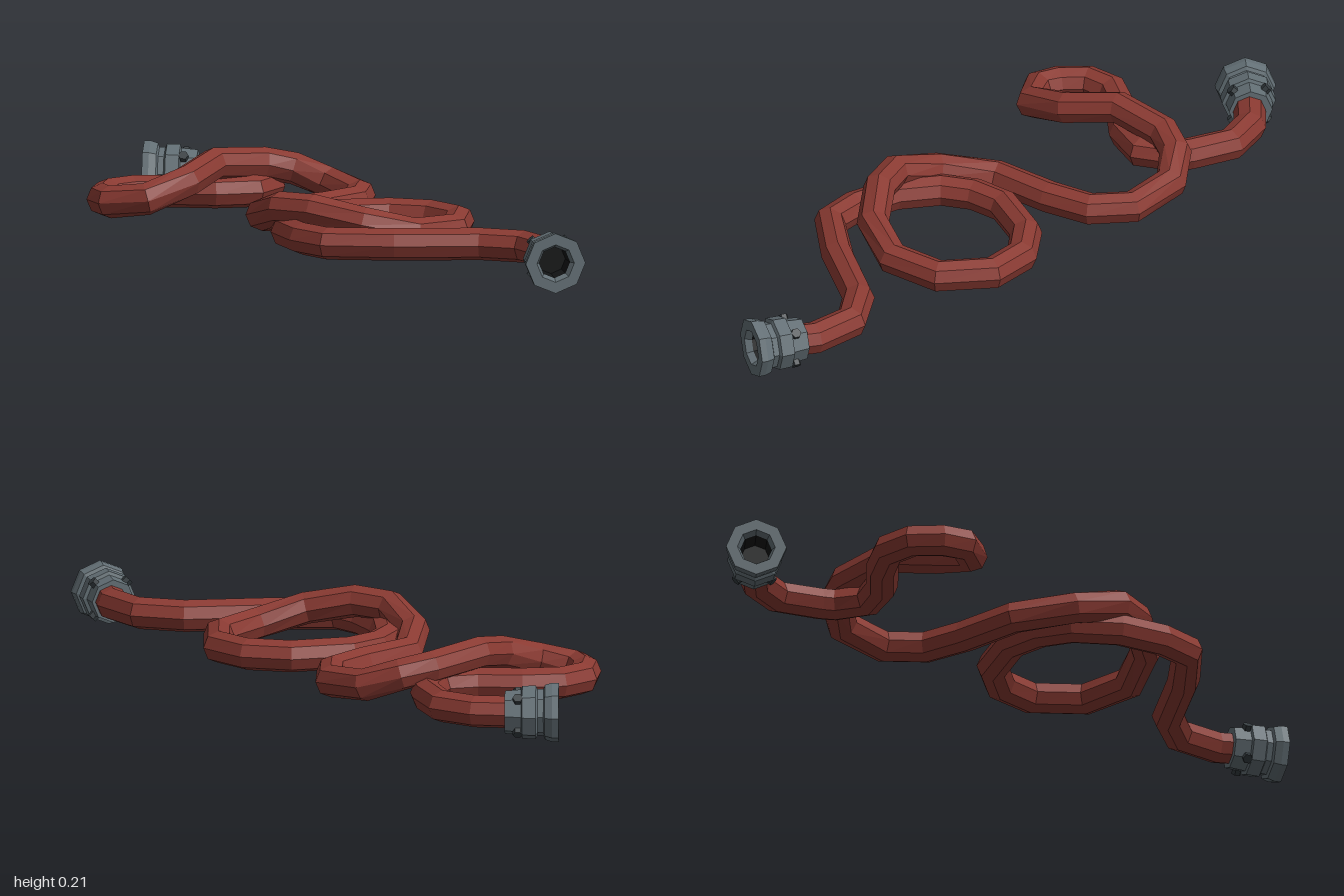
import * as THREE from 'three';

const mat = (name, color) => new THREE.MeshStandardMaterial({ name, color, flatShading: true });

// Octagonal sweep along a polyline, ring corners kept upright
function sweep(path, radius, sides = 8) {
  const pos = [], index = [];
  const up = new THREE.Vector3(0, 1, 0);
  path.forEach((p, i) => {
    const before = path[Math.max(i - 1, 0)], after = path[Math.min(i + 1, path.length - 1)];
    const t1 = p.clone().sub(before).normalize(), t2 = after.clone().sub(p).normalize();
    const t = t1.add(t2).normalize();
    const s = t.clone().cross(up).normalize(), u = s.clone().cross(t);
    for (let j = 0; j < sides; j++) {
      const a = (j / sides) * Math.PI * 2;
      const v = p.clone().addScaledVector(s, Math.cos(a) * radius).addScaledVector(u, Math.sin(a) * radius);
      pos.push(v.x, v.y, v.z);
      if (i < path.length - 1) {
        const k = (j + 1) % sides, A = i * sides, B = A + sides;
        index.push(A + j, B + j, B + k, A + j, B + k, A + k);
      }
    }
  });
  const g = new THREE.BufferGeometry();
  g.setAttribute('position', new THREE.Float32BufferAttribute(pos, 3));
  g.setIndex(index);
  const flat = g.toNonIndexed();
  flat.computeVertexNormals();
  return flat;
}

export function createModel() {
  const model = new THREE.Group();
  model.name = 'hose';
  const red = mat('hoseRed', 0x8a3a32);
  const steel = mat('couplingGrey', 0x626e74);
  const dark = mat('lugDark', 0x343b3f);
  const black = mat('boreBlack', 0x121415);

  // Hose centre line on the ground: x, z and optional height
  const Y = 0.084;
  const route = [
    [0.382, 0.86], [0.402, 0.8], [0.382, 0.67], [0.285, 0.585], [0.06, 0.51], [-0.105, 0.43],
    // front loop, passing under then over itself
    [-0.138, 0.33], [-0.138, 0.2], [-0.09, 0.08], [-0.02, 0.015], [0.075, -0.018], [0.235, 0.01],
    [0.33, 0.085], [0.365, 0.2], [0.3, 0.335], [0.16, 0.395, 0.09], [0.02, 0.37, 0.125],
    [-0.09, 0.28, 0.153], [-0.15, 0.19, 0.15], [-0.155, 0.05, 0.11],
    // middle bend
    [-0.07, -0.09], [0.1, -0.15], [0.215, -0.21], [0.268, -0.315], [0.235, -0.46, 0.1],
    // back loop, passing over then under
    [0.155, -0.525, 0.135], [0.07, -0.54, 0.152], [-0.09, -0.495, 0.166], [-0.205, -0.4, 0.138],
    [-0.335, -0.37, 0.1], [-0.415, -0.44, 0.086], [-0.412, -0.505], [-0.37, -0.575], [-0.29, -0.602],
    [-0.19, -0.57], [-0.08, -0.51], [0.025, -0.495], [0.095, -0.56], [0.108, -0.6],
    [0.125, -0.725], [0.07, -0.82], [-0.02, -0.875],
  ].map(([x, z, y = Y]) => new THREE.Vector3(x, y, z));
  const hose = new THREE.Mesh(sweep(route, 0.045), red);
  hose.name = 'hoseTube';
  model.add(hose);

  // Stepped coupling profile (radius, distance from the hose end)
  const profile = [
    [0.03, 0], [0.06, 0], [0.064, 0.045], [0.074, 0.048], [0.075, 0.085], [0.065, 0.09],
    [0.066, 0.106], [0.077, 0.11], [0.083, 0.13], [0.083, 0.148], [0.052, 0.148], [0.043, 0.13],
  ].map(([r, t]) => new THREE.Vector2(r, t));
  const bodyGeo = new THREE.LatheGeometry(profile, 8).rotateX(Math.PI / 2);
  const boreGeo = new THREE.LatheGeometry(
    [[0.043, 0.13], [0.04, 0.07], [0, 0.07]].map(([r, t]) => new THREE.Vector2(r, t)), 8).rotateX(Math.PI / 2);
  const lugGeo = new THREE.CylinderGeometry(0.014, 0.014, 0.016, 6).translate(0, 0.066, 0.036);

  function coupling(name, x, z, dx, dz) {
    const g = new THREE.Group();
    g.name = name;
    const add = (geo, material, part) => {
      const m = new THREE.Mesh(geo, material);
      m.name = part;
      g.add(m);
      return m;
    };
    add(bodyGeo, steel, 'couplingBody');
    add(boreGeo, black, 'couplingBore');
    for (let i = 0; i < 4; i++) add(lugGeo, dark, 'couplingLug').rotation.z = Math.PI / 4 + i * Math.PI / 2;
    g.position.set(x, Y, z);
    g.rotation.y = Math.atan2(dx, dz);
    model.add(g);
  }
  coupling('frontCoupling', 0.385, 0.832, -0.028, 0.146);
  coupling('backCoupling', 0.002, -0.866, -0.117, -0.057);

  return model;
}
